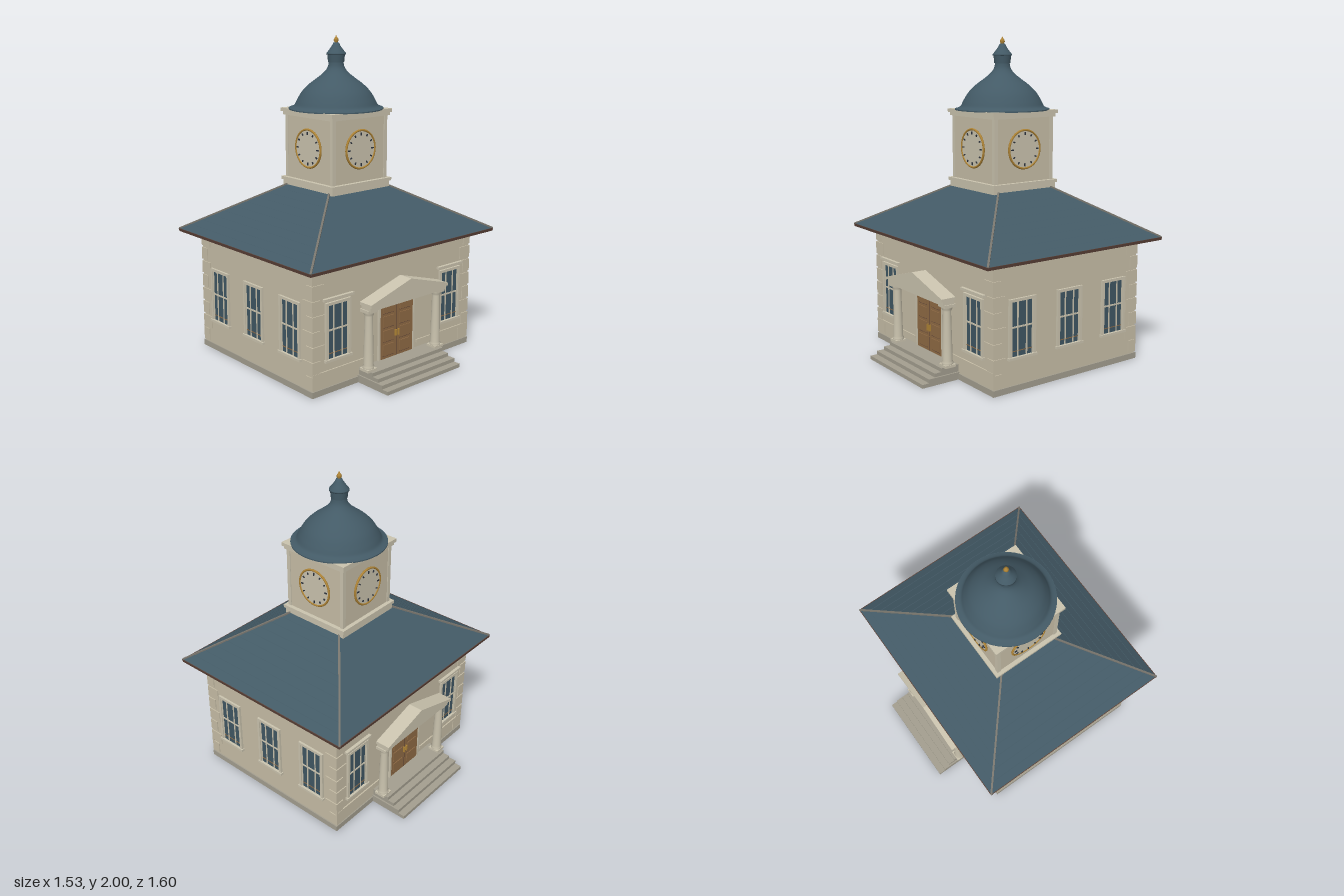
import * as THREE from 'three';

const mat = (name, color) => {
  const m = new THREE.MeshStandardMaterial({ color });
  m.name = name;
  return m;
};

export function createModel() {
  const M = {
    wall: mat('wall cream', 0xc6bda6),
    trim: mat('trim cream', 0xcac3ae),
    stone: mat('step stone', 0xa39e8f),
    roof: mat('slate blue', 0x435a66),
    glass: mat('window glass', 0x3f5663),
    wood: mat('door wood', 0x8f6a44),
    darkWood: mat('dark wood', 0x5c4238),
    ridge: mat('ridge grey', 0x77746c),
    gold: mat('brass', 0xb08536),
    ink: mat('clock ink', 0x2c323c),
  };
  const root = new THREE.Group();
  root.name = 'clockTowerHall';

  const add = (parent, name, geo, m, x = 0, y = 0, z = 0) => {
    const mesh = new THREE.Mesh(geo, m);
    mesh.name = name;
    mesh.position.set(x, y, z);
    parent.add(mesh);
    return mesh;
  };
  // Box given by its centre x, bottom and top y, back and front z
  const box = (parent, name, m, w, x, y0, y1, z0, z1) =>
    add(parent, name, new THREE.BoxGeometry(w, y1 - y0, z1 - z0), m, x, (y0 + y1) / 2, (z0 + z1) / 2);
  const group = (parent, name, x = 0, y = 0, z = 0, ry = 0) => {
    const g = new THREE.Group();
    g.name = name;
    g.position.set(x, y, z);
    g.rotation.y = ry;
    parent.add(g);
    return g;
  };
  // Four-sided frustum made by moving the corners of a box
  const frustum = (a, c, y0, b, d, y1) => {
    const g = new THREE.BoxGeometry(2, 1, 2), p = g.attributes.position;
    for (let i = 0; i < p.count; i++) {
      const top = p.getY(i) > 0;
      p.setXYZ(i, p.getX(i) * (top ? b : a), top ? y1 : y0, p.getZ(i) * (top ? d : c));
    }
    g.computeVertexNormals();
    return g;
  };
  const lathe = (pts, n) => new THREE.LatheGeometry(pts.map(([x, y]) => new THREE.Vector2(x, y)), n);
  const extrude = (pts, depth) => new THREE.ExtrudeGeometry(
    new THREE.Shape(pts.map(([x, y]) => new THREE.Vector2(x, y))), { depth, bevelEnabled: false });

  // Walls, plinth and corner stones
  box(root, 'walls', M.wall, 1.308, 0, 0.035, 0.77, -0.546, 0.546);
  box(root, 'plinth', M.stone, 1.324, 0, 0, 0.037, -0.553, 0.553);
  for (const sx of [-1, 1]) for (const sz of [-1, 1]) for (let i = 0; i < 8; i++) {
    const w = i % 2 ? 0.06 : 0.09, d = i % 2 ? 0.09 : 0.06, y = 0.045 + i * 0.09;
    box(root, 'cornerStone', M.wall, w, sx * (0.66 - w / 2), y, y + 0.078,
      sz * (0.552 - d / 2) - d / 2, sz * (0.552 - d / 2) + d / 2);
  }

  // Window on a wall plane at local z = 0
  const windowUnit = (parent, x, z, ry, hood) => {
    const g = group(parent, 'window', x, 0, z, ry);
    box(g, 'glass', M.glass, 0.17, 0, 0.205, 0.54, 0, 0.004);
    for (const s of [-1, 1]) {
      box(g, 'frameSide', M.trim, 0.016, s * 0.087, 0.205, 0.545, 0, 0.014);
      box(g, 'innerFrame', M.trim, 0.008, s * 0.074, 0.21, 0.535, 0, 0.008);
      box(g, 'mullion', M.trim, 0.008, s * 0.031, 0.21, 0.535, 0, 0.008);
    }
    box(g, 'frameTop', M.trim, 0.19, 0, 0.53, 0.547, 0, 0.014);
    box(g, 'crossBar', M.trim, 0.155, 0, 0.376, 0.385, 0, 0.009);
    box(g, 'lowerRail', M.wood, 0.14, 0, 0.238, 0.242, 0, 0.007);
    box(g, 'sill', M.trim, 0.205, 0, 0.193, 0.208, 0, 0.02);
    if (hood) box(g, 'hood', M.trim, 0.225, 0, 0.56, 0.575, 0, 0.02);
  };
  for (const s of [-1, 1]) for (const z of [-0.35, 0, 0.35])
    windowUnit(root, s * 0.655, z, s * Math.PI / 2, false);

  // Front and back entrances
  for (const ry of [0, Math.PI]) {
    const f = group(root, ry ? 'backEntrance' : 'frontEntrance', 0, 0, 0, ry);
    for (const s of [-1, 1]) {
      windowUnit(f, s * 0.47, 0.547, 0, true);
      box(f, 'wallBand', M.wall, 0.48, s * 0.42, 0.122, 0.14, 0.54, 0.554);

      // Door leaf with raised panels and handle
      box(f, 'doorLeaf', M.wood, 0.137, s * 0.07, 0.09, 0.465, 0.54, 0.556);
      for (const [y0, y1] of [[0.11, 0.18], [0.2, 0.27], [0.29, 0.36], [0.38, 0.445]]) {
        box(f, 'doorPanel', M.wood, 0.09, s * 0.07, y0, y1, 0.555, 0.561);
        box(f, 'panelGroove', M.darkWood, 0.09, s * 0.07, y0 - 0.004, y0, 0.555, 0.558);
      }
      box(f, 'doorHandle', M.gold, 0.007, s * 0.012, 0.22, 0.26, 0.556, 0.568);
      box(f, 'doorFrame', M.trim, 0.012, s * 0.145, 0.09, 0.467, 0.54, 0.561);

      // Column with base and capital
      const c = group(f, 'column', s * 0.285, 0, 0.612);
      box(c, 'columnFoot', M.trim, 0.072, 0, 0.088, 0.104, -0.036, 0.036);
      add(c, 'columnShaft', lathe([[0.034, 0.104], [0.035, 0.116], [0.03, 0.124], [0.029, 0.22],
        [0.024, 0.425], [0.031, 0.438], [0.033, 0.452]], 20), M.trim);
      box(c, 'capital', M.trim, 0.074, 0, 0.45, 0.468, -0.037, 0.037);
    }
    box(f, 'doorSeam', M.darkWood, 0.004, 0, 0.09, 0.465, 0.54, 0.557);

    // Gable over the columns
    add(f, 'gable', extrude([[-0.315, 0.465], [0.315, 0.465], [0.315, 0.495], [0, 0.59], [-0.315, 0.495]],
      0.075), M.trim, 0, 0, 0.582);
    add(f, 'gableCornice', extrude([[-0.325, 0.492], [0, 0.586], [0.325, 0.492], [0.325, 0.51],
      [0, 0.605], [-0.325, 0.51]], 0.096), M.trim, 0, 0, 0.578);

    // Steps
    [[0.31, 0.8], [0.31, 0.755], [0.3, 0.71], [0.3, 0.665]].forEach(([w, z], i) =>
      box(f, 'step', M.stone, w * 2, 0, i * 0.0225, (i + 1) * 0.0225, 0.54, z));
  }

  // Hipped roof in overlapping courses
  const N = 10, lerp = THREE.MathUtils.lerp;
  const at = t => [lerp(0.757, 0.225, t), lerp(0.657, 0.195, t), lerp(0.78, 1.075, t)];
  add(root, 'eaves', frustum(0.757, 0.657, 0.763, 0.76, 0.66, 0.781), M.darkWood);
  for (let i = 0; i < N; i++) {
    const [a, c, y0] = at(i / N), [b, d, y1] = at((i + 1) / N), o = i ? 0.004 : 0;
    add(root, 'roofCourse', frustum(a + o, c + o, y0 - o, b, d, y1), M.roof);
  }
  for (const sx of [-1, 1]) for (const sz of [-1, 1]) {
    const [a, c, y0] = at(0), [b, d, y1] = at(1);
    const p = new THREE.Vector3(sx * a, y0, sz * c), q = new THREE.Vector3(sx * b, y1, sz * d);
    const m = add(root, 'hipRidge', new THREE.BoxGeometry(0.012, 0.012, p.distanceTo(q)), M.ridge);
    m.position.copy(p).add(q).multiplyScalar(0.5);
    m.lookAt(q);
  }

  // Tower
  box(root, 'tower', M.wall, 0.44, 0, 1.0, 1.55, -0.22, 0.22);
  for (const [h, y0, y1] of [[0.236, 1.06, 1.098], [0.246, 1.098, 1.118], [0.236, 1.51, 1.53], [0.246, 1.53, 1.552]])
    box(root, 'towerMoulding', M.trim, h * 2, 0, y0, y1, -h, h);
  for (const sx of [-1, 1]) for (const sz of [-1, 1])
    box(root, 'towerCorner', M.trim, 0.025, sx * 0.2125, 1.06, 1.52, sz * 0.2125 - 0.0125, sz * 0.2125 + 0.0125);

  // Clock on each tower side
  for (let k = 0; k < 4; k++) {
    const g = group(root, 'clock', 0, 0, 0, k * Math.PI / 2);
    const face = add(g, 'clockFace', new THREE.CylinderGeometry(0.115, 0.115, 0.009, 48), M.trim, 0, 1.32, 0.2245);
    face.rotation.x = Math.PI / 2;
    add(g, 'clockRim', new THREE.TorusGeometry(0.117, 0.007, 8, 48), M.gold, 0, 1.32, 0.227);
    for (let i = 0; i < 12; i++) {
      const t = i * Math.PI / 6;
      const m = add(g, 'hourMark', new THREE.BoxGeometry(0.007, i % 3 ? 0.013 : 0.018, 0.008), M.ink,
        Math.sin(t) * 0.095, 1.32 + Math.cos(t) * 0.095, 0.231);
      m.rotation.z = -t;
    }
  }

  // Dome, lantern and finial
  const curve = new THREE.SplineCurve([[0.293, 1.556], [0.262, 1.57], [0.243, 1.605], [0.212, 1.655], [0.168, 1.7],
    [0.115, 1.74], [0.075, 1.773], [0.052, 1.805], [0.045, 1.84]].map(([x, y]) => new THREE.Vector2(x, y)));
  add(root, 'dome', new THREE.LatheGeometry(curve.getPoints(32), 48), M.roof);
  add(root, 'domeRim', new THREE.CylinderGeometry(0.295, 0.295, 0.007, 48), M.roof, 0, 1.5525, 0);
  add(root, 'lantern', new THREE.CylinderGeometry(0.055, 0.05, 0.05, 20), M.roof, 0, 1.86, 0);
  add(root, 'lanternCap', lathe([[0, 1.88], [0.061, 1.881], [0.06, 1.89], [0.042, 1.912], [0.026, 1.935],
    [0.017, 1.953], [0, 1.957]], 20), M.roof);
  add(root, 'finial', lathe([[0.008, 1.94], [0.009, 1.955], [0.016, 1.966], [0.013, 1.977], [0.005, 1.988],
    [0, 2]], 12), M.gold);

  return root;
}
